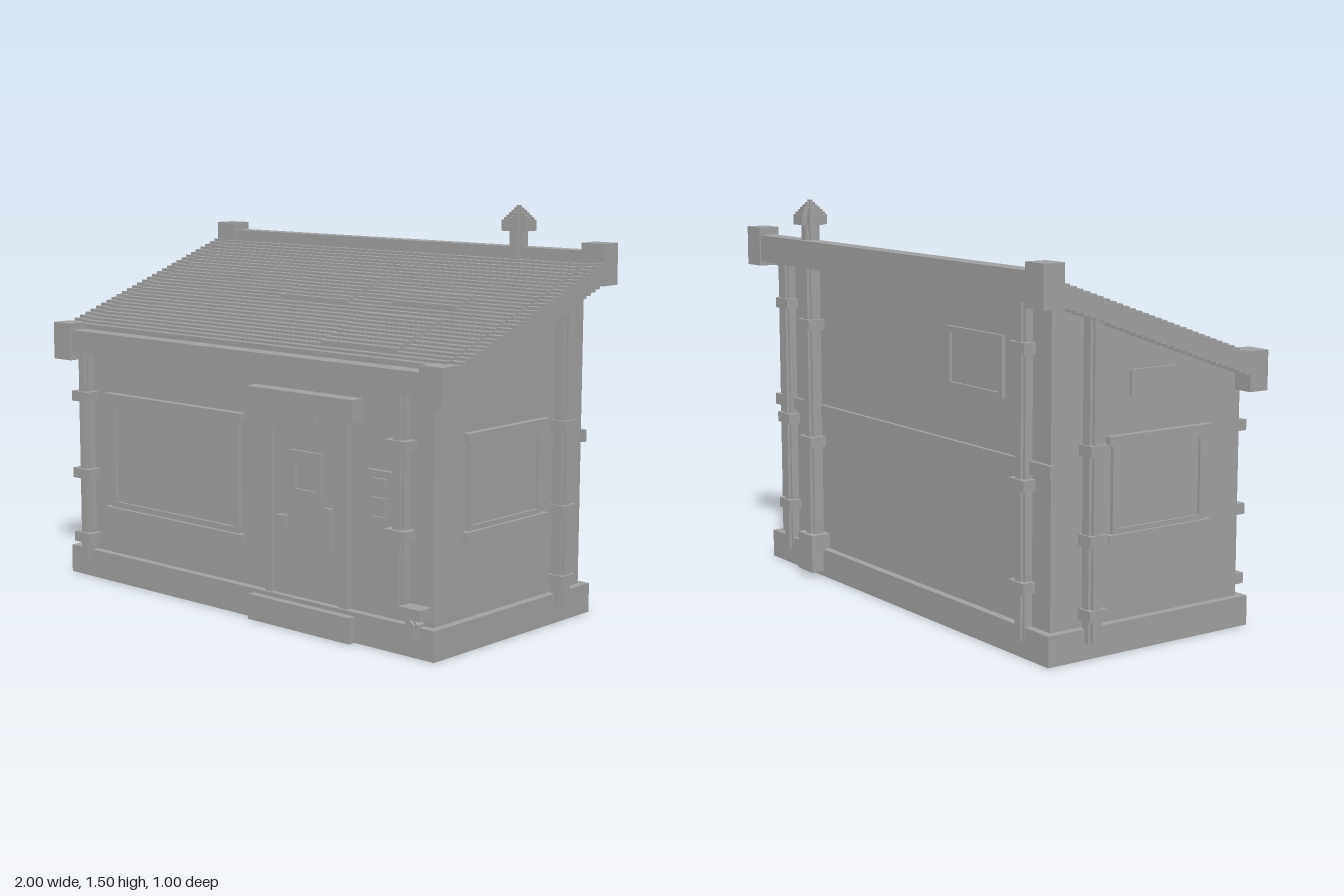
import * as THREE from 'three';

export function createModel() {
  const model = new THREE.Group();
  model.name = 'hut';
  const grey = new THREE.MeshStandardMaterial({ color: 0xa0a0a0 });
  grey.name = 'plain grey';

  const add = (name, geometry, parent = model) => {
    const mesh = new THREE.Mesh(geometry, grey);
    mesh.name = name;
    parent.add(mesh);
    return mesh;
  };
  const group = (name, parent = model) => {
    const g = new THREE.Group();
    g.name = name;
    parent.add(g);
    return g;
  };
  // box given by its limits on each axis
  const box = (name, x0, x1, y0, y1, z0, z1, parent) => {
    const mesh = add(name, new THREE.BoxGeometry(x1 - x0, y1 - y0, z1 - z0), parent);
    mesh.position.set((x0 + x1) / 2, (y0 + y1) / 2, (z0 + z1) / 2);
    return mesh;
  };
  // outline in (z, y) swept from x0 to x1
  const sweep = (name, points, x0, x1, parent) => {
    const shape = new THREE.Shape(points.map(([z, y]) => new THREE.Vector2(z, y)));
    const geo = new THREE.ExtrudeGeometry(shape, { depth: x1 - x0, bevelEnabled: false });
    geo.translate(0, 0, -x1).rotateY(-Math.PI / 2);
    return add(name, geo, parent);
  };

  // plinth, doorstep and walls
  box('plinth', -0.95, 0.95, 0, 0.11, -0.435, 0.47);
  box('doorstep', 0.09, 0.59, 0, 0.095, 0.4, 0.5);
  sweep('walls', [[-0.405, 0.1], [0.44, 0.1], [0.44, 0.95], [-0.405, 1.255]], -0.92, 0.92);

  // stepped lean-to roof
  const STEPS = 30, FRONT = 0.42, BACK = -0.42, RUN = (FRONT - BACK) / STEPS, RISE = 0.3 / STEPS;
  const steppedSlab = (name, first, last, lift, thick, x0, x1, parent) => {
    const top = [], under = [];
    for (let i = first; i < last; i++) {
      const y = 1.01 + i * RISE + lift, z0 = FRONT - i * RUN, z1 = z0 - RUN;
      top.push([z0, y], [z1, y]);
      under.push([z0, y - thick], [z1, y - thick]);
    }
    return sweep(name, top.concat(under.reverse()), x0, x1, parent);
  };
  const roof = group('roof');
  steppedSlab('roofCovering', 0, STEPS, 0, 0.06, -0.94, 0.94, roof);
  for (const s of [-1, 1]) {
    steppedSlab('bargeBoard', 0, STEPS, 0.004, 0.08, s < 0 ? -1 : 0.94, s < 0 ? -0.94 : 1, roof);
  }
  const stepAt = (z) => Math.round((FRONT - z) / RUN);
  for (const [x0, x1, zFront, zBack] of [
    [-0.17, 0.17, 0.065, -0.17], [0.37, 0.675, 0.02, -0.08],
    [0.325, 0.685, 0.37, 0.1], [0.56, 0.66, 0.33, 0.25],
  ]) {
    steppedSlab('roofPatch', stepAt(zFront), stepAt(zBack), 0.012, 0.03, x0, x1, roof);
  }

  // fascias with corner blocks
  box('frontFascia', -0.9, 0.9, 0.905, 0.99, 0.42, 0.49, roof);
  box('backFascia', -0.9, 0.9, 1.24, 1.345, -0.495, -0.425, roof);
  for (const s of [-1, 1]) {
    box('frontCornerBlock', s * 0.95 - 0.05, s * 0.95 + 0.05, 0.87, 1.016, 0.417, 0.5, roof);
    box('backCornerBlock', s * 0.95 - 0.05, s * 0.95 + 0.05, 1.222, 1.375, -0.5, -0.413, roof);
  }

  // window in its own plane: outer frame, pane, lintel and sill, facing +z
  const window = (name, w, h, ledge, bar) => {
    const g = group(name);
    const x = w / 2, y = h / 2, d = 0.014;
    box('pane', -x + bar, x - bar, -y + bar, y - bar, -0.004, 0.003, g);
    for (const s of [-1, 1]) {
      const xc = s * (x - bar / 2), yc = s * (y - bar / 2);
      box('jamb', xc - bar / 2, xc + bar / 2, -y, y, -0.01, d, g);
      box('rail', -x + bar, x - bar, yc - bar / 2, yc + bar / 2, -0.01, d, g);
      if (ledge) {
        const lc = s * (y + 0.012);
        box(s > 0 ? 'lintel' : 'sill', -x - ledge, x + ledge, lc - 0.016, lc + 0.016, -0.01, 0.027, g);
      }
    }
    return g;
  };
  window('frontWindow', 0.715, 0.43, 0.024, 0.026).position.set(-0.36, 0.51, 0.44);
  for (const s of [-1, 1]) {
    const w = window('sideWindow', 0.416, 0.32, 0.024, 0.021);
    w.position.set(s * 0.92, 0.576, 0.059);
    w.rotation.y = s * Math.PI / 2;
  }
  const backWindow = window('backWindow', 0.34, 0.22, 0, 0.02);
  backWindow.position.set(-0.49, 0.99, -0.405);
  backWindow.rotation.y = Math.PI;
  box('sideVent', -0.932, -0.91, 0.89, 0.985, -0.07, 0.13);

  // door with surround, canopy and fittings
  const door = group('door');
  box('doorLeaf', 0.174, 0.506, 0.11, 0.72, 0.43, 0.447, door);
  box('doorJamb', 0.137, 0.174, 0.11, 0.787, 0.43, 0.46, door);
  box('doorJamb', 0.506, 0.544, 0.11, 0.787, 0.43, 0.46, door);
  box('doorHead', 0.174, 0.506, 0.72, 0.787, 0.43, 0.46, door);
  box('canopy', 0.083, 0.6, 0.787, 0.867, 0.43, 0.5, door);
  box('canopyLamp', 0.27, 0.41, 0.762, 0.787, 0.45, 0.48, door);
  box('handle', 0.436, 0.469, 0.3, 0.46, 0.44, 0.466, door);
  box('lock', 0.2, 0.248, 0.36, 0.405, 0.44, 0.466, door);
  const hatch = window('doorWindow', 0.16, 0.17, 0, 0.03);
  hatch.position.set(0.34, 0.565, 0.445);
  door.add(hatch);

  // wall panel with three buttons
  const panel = group('wallPanel');
  box('panelPlate', 0.635, 0.75, 0.397, 0.627, 0.43, 0.456, panel);
  for (let i = 0; i < 3; i++) {
    const y = 0.445 + i * 0.067;
    box('panelButton', 0.66, 0.725, y - 0.022, y + 0.022, 0.45, 0.464, panel);
  }

  // upright pipe of cross-shaped section
  const pipe = (x, z, y0, y1, r, parent) => {
    box('pipeBroad', x - r, x + r, y0, y1, z - r * 0.6, z + r * 0.6, parent);
    box('pipeDeep', x - r * 0.6, x + r * 0.6, y0, y1, z - r, z + r, parent);
  };
  const bracket = (x, y, z, wx, wz, parent) =>
    box('bracket', x - wx / 2, x + wx / 2, y - 0.02, y + 0.02, z - wz / 2, z + wz / 2, parent);
  const LEVELS = [0.16, 0.42, 0.73];

  // front downpipes, the right-hand one kicked out at the foot
  const leftPipe = group('frontDownpipe');
  pipe(-0.848, 0.462, 0.06, 0.91, 0.027, leftPipe);
  for (const y of LEVELS) bracket(-0.848, y, 0.465, 0.095, 0.07, leftPipe);

  const bentPipe = group('bentDownpipe');
  pipe(0.793, 0.462, 0.18, 0.91, 0.027, bentPipe);
  pipe(0.857, 0.462, 0.06, 0.12, 0.027, bentPipe);
  for (const [r, d] of [[0.027, 0.0162], [0.0162, 0.027]]) {
    const bend = new THREE.Shape([[0.793 - r, 0.18], [0.857 - r, 0.12], [0.857 + r, 0.12], [0.793 + r, 0.18]]
      .map(([x, y]) => new THREE.Vector2(x, y)));
    add('pipeBend', new THREE.ExtrudeGeometry(bend, { depth: 2 * d, bevelEnabled: false }), bentPipe)
      .position.z = 0.462 - d;
  }
  for (const y of LEVELS) bracket(y < 0.2 ? 0.865 : 0.795, y, 0.465, 0.095, 0.07, bentPipe);

  // side pipes
  for (const s of [-1, 1]) {
    const g = group('sidePipe');
    pipe(s * 0.95, -0.25, 0.06, 1.18, 0.03, g);
    for (const y of LEVELS) bracket(s * 0.952, y, -0.25, 0.07, 0.075, g);
  }

  // back pipes and rail
  for (const x of [-0.79, 0.81]) {
    const g = group('backPipe');
    pipe(x, -0.42, 0.06, 1.27, 0.027, g);
    for (const y of [0.25, 0.607, 1.075]) bracket(x, y, -0.425, 0.09, 0.06, g);
  }
  box('backRail', -0.935, 0.935, 0.645, 0.69, -0.42, -0.4);

  // vent stack with stepped cap
  const stack = group('ventStack');
  pipe(0.595, -0.44, 0.1, 1.41, 0.03, stack);
  box('stackFoot', 0.54, 0.65, 0.02, 0.17, -0.487, -0.4, stack);
  for (const y of [0.545, 1.013]) bracket(0.595, y, -0.445, 0.09, 0.07, stack);
  const tier = (r, y0, y1) => pipe(0.595, -0.44, y0, y1, r, stack);
  tier(0.056, 1.405, 1.445);
  for (let i = 0; i < 6; i++) tier(0.049 - i * 0.008, 1.445 + i * 0.0092, 1.4542 + i * 0.0092);

  return model;
}
